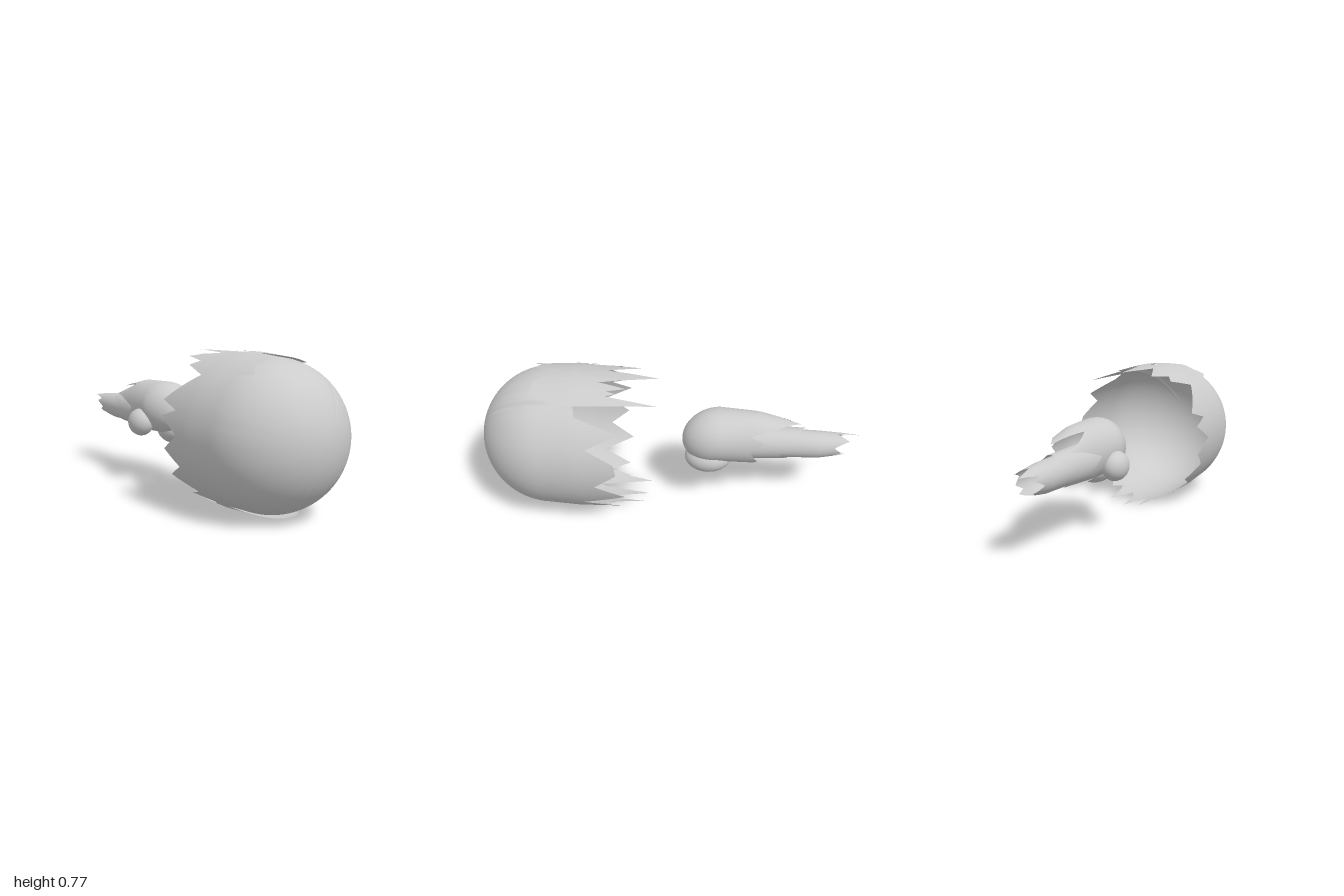
import * as THREE from 'three';

const material = new THREE.MeshStandardMaterial({ color: 0xcccccc, side: THREE.DoubleSide });

// Piecewise-linear lookup; the rows are [key, ...values] with rising keys
function lookup(rows, key) {
  if (key <= rows[0][0]) return rows[0].slice(1);
  for (let i = 1; i < rows.length; i++) {
    const a = rows[i - 1], b = rows[i];
    if (key <= b[0]) {
      const t = (key - a[0]) / (b[0] - a[0]);
      return a.slice(1).map((v, k) => v + (b[k + 1] - v) * t);
    }
  }
  return rows[rows.length - 1].slice(1);
}

// Skin over elliptical sections [depth, cx, cy, rx, ry], where depth = -z.
// Torn edges are lists of [degrees from the top towards +x, z].
function tornSkin(name, { sections, front, back, nose = 0, from = 0, to = 360, rows = 28 }) {
  const step = 3, n = (to - from) / step, closed = to - from === 360;
  const cols = closed ? n : n + 1, pos = [], index = [];
  for (let i = 0; i <= rows; i++) {
    const t = nose ? (i / rows) ** 2 : i / rows;
    for (let j = 0; j < cols; j++) {
      const deg = from + j * step, a = THREE.MathUtils.degToRad(deg);
      const z0 = lookup(front, deg)[0], z1 = lookup(back, deg)[0];
      const z = z0 + (z1 - z0) * t;
      const [cx, cy, rx, ry] = lookup(sections, -z);
      const d = z0 - z;
      const cap = nose && d < nose ? Math.sqrt(Math.max(0, 1 - (1 - d / nose) ** 2)) : 1;
      pos.push(cx + rx * cap * Math.sin(a), cy + ry * cap * Math.cos(a), z);
    }
  }
  for (let i = 0; i < rows; i++) {
    for (let j = 0; j < n; j++) {
      const k = (j + 1) % cols;
      const a = i * cols + j, b = i * cols + k, c = a + cols, d = b + cols;
      index.push(a, c, b, b, c, d);
    }
  }
  const geo = new THREE.BufferGeometry();
  geo.setAttribute('position', new THREE.Float32BufferAttribute(pos, 3));
  geo.setIndex(index);
  geo.computeVertexNormals();
  const mesh = new THREE.Mesh(geo, material);
  mesh.name = name;
  return mesh;
}

function lump(name, x, y, z, rx, ry, rz) {
  const mesh = new THREE.Mesh(new THREE.SphereGeometry(1, 28, 18), material);
  mesh.name = name;
  mesh.position.set(x, y, z);
  mesh.scale.set(rx, ry, rz);
  return mesh;
}

export function createModel() {
  const group = new THREE.Group();

  // Hollow round-nosed shell with a ragged rear rim
  group.add(tornSkin('shell', {
    sections: [[-1, 0, 0.387, 0.365, 0.368], [-0.63, 0, 0.387, 0.366, 0.368],
      [-0.47, 0, 0.387, 0.373, 0.378], [-0.05, 0, 0.387, 0.36, 0.37]],
    nose: 0.37, rows: 40, front: [[0, 1]],
    back: [[0, 0.06], [6, 0.27], [9, 0.36], [15, 0.22], [21, 0.4], [30, 0.06], [33, 0.47],
      [42, 0.46], [54, 0.24], [66, 0.4], [78, 0.26], [87, 0.25], [99, 0.36], [111, 0.21],
      [123, 0.43], [135, 0.25], [144, 0.38], [150, 0.3], [156, 0.4], [162, 0.14], [168, 0.35],
      [177, 0.26], [186, 0.4], [192, 0.11], [201, 0.38], [210, 0.25], [222, 0.4], [234, 0.24],
      [246, 0.37], [258, 0.27], [270, 0.39], [282, 0.25], [288, 0.36], [294, 0.23], [318, 0.42],
      [327, 0.25], [333, 0.3], [339, 0.15], [351, 0.33], [354, 0.22], [360, 0.06]],
  }));

  // Raised flakes lying over the top and the underside
  const flakeSections = [[-0.8, 0, 0.387, 0.355, 0.358], [-0.72, 0, 0.387, 0.368, 0.37],
    [-0.5, 0, 0.387, 0.377, 0.384], [-0.05, 0, 0.387, 0.366, 0.374]];
  group.add(tornSkin('topFlake', {
    sections: flakeSections, from: -39, to: 33,
    front: [[-39, 0.64], [-33, 0.75], [-24, 0.69], [-12, 0.71], [0, 0.56], [9, 0.69], [24, 0.7], [33, 0.55]],
    back: [[-39, 0.55], [-30, 0.38], [-24, 0.45], [-18, 0.2], [-9, 0.48], [0, 0.47], [6, 0.3],
      [12, 0.46], [21, 0.27], [33, 0.5]],
  }));
  group.add(tornSkin('bottomFlake', {
    sections: flakeSections, from: 150, to: 216,
    front: [[150, 0.58], [162, 0.71], [171, 0.76], [189, 0.76], [201, 0.66], [216, 0.55]],
    back: [[150, 0.5], [159, 0.28], [168, 0.46], [177, 0.12], [186, 0.42], [198, 0.24], [207, 0.45], [216, 0.5]],
  }));

  // Trailing body: rounded head with a torn collar
  group.add(tornSkin('trailingBody', {
    sections: [[0.06, 0, 0.4, 0.135, 0.145], [0.25, -0.015, 0.42, 0.148, 0.142],
      [0.45, -0.015, 0.41, 0.122, 0.145], [0.68, -0.02, 0.42, 0.09, 0.08]],
    nose: 0.17, front: [[0, -0.06]],
    back: [[0, -0.68], [36, -0.56], [60, -0.42], [75, -0.49], [96, -0.42], [129, -0.46], [159, -0.42],
      [180, -0.46], [210, -0.4], [240, -0.48], [270, -0.42], [300, -0.64], [330, -0.47], [360, -0.68]],
  }));
  group.add(lump('lowerLump', 0.02, 0.3, -0.2, 0.1, 0.082, 0.125));
  group.add(lump('sideLump', -0.15, 0.34, -0.3, 0.066, 0.075, 0.085));

  // Nested sleeves that taper into the ragged tail
  group.add(tornSkin('middleSleeve', {
    sections: [[0.38, -0.03, 0.37, 0.09, 0.095], [0.72, -0.03, 0.375, 0.078, 0.08]],
    front: [[0, -0.38]],
    back: [[0, -0.69], [45, -0.66], [75, -0.72], [105, -0.57], [150, -0.63], [180, -0.6],
      [225, -0.67], [270, -0.59], [315, -0.72], [360, -0.69]],
  }));
  group.add(tornSkin('tail', {
    sections: [[0.5, -0.03, 0.37, 0.076, 0.08], [0.78, -0.03, 0.37, 0.072, 0.073],
      [0.9, -0.035, 0.375, 0.06, 0.058], [1, -0.04, 0.385, 0.045, 0.035]],
    front: [[0, -0.5]],
    back: [[0, -0.88], [42, -0.94], [75, -0.86], [108, -0.9], [129, -0.85], [156, -0.93], [186, -0.84],
      [222, -0.91], [258, -0.85], [285, -0.92], [300, -0.88], [333, -1], [360, -0.88]],
  }));

  return group;
}
